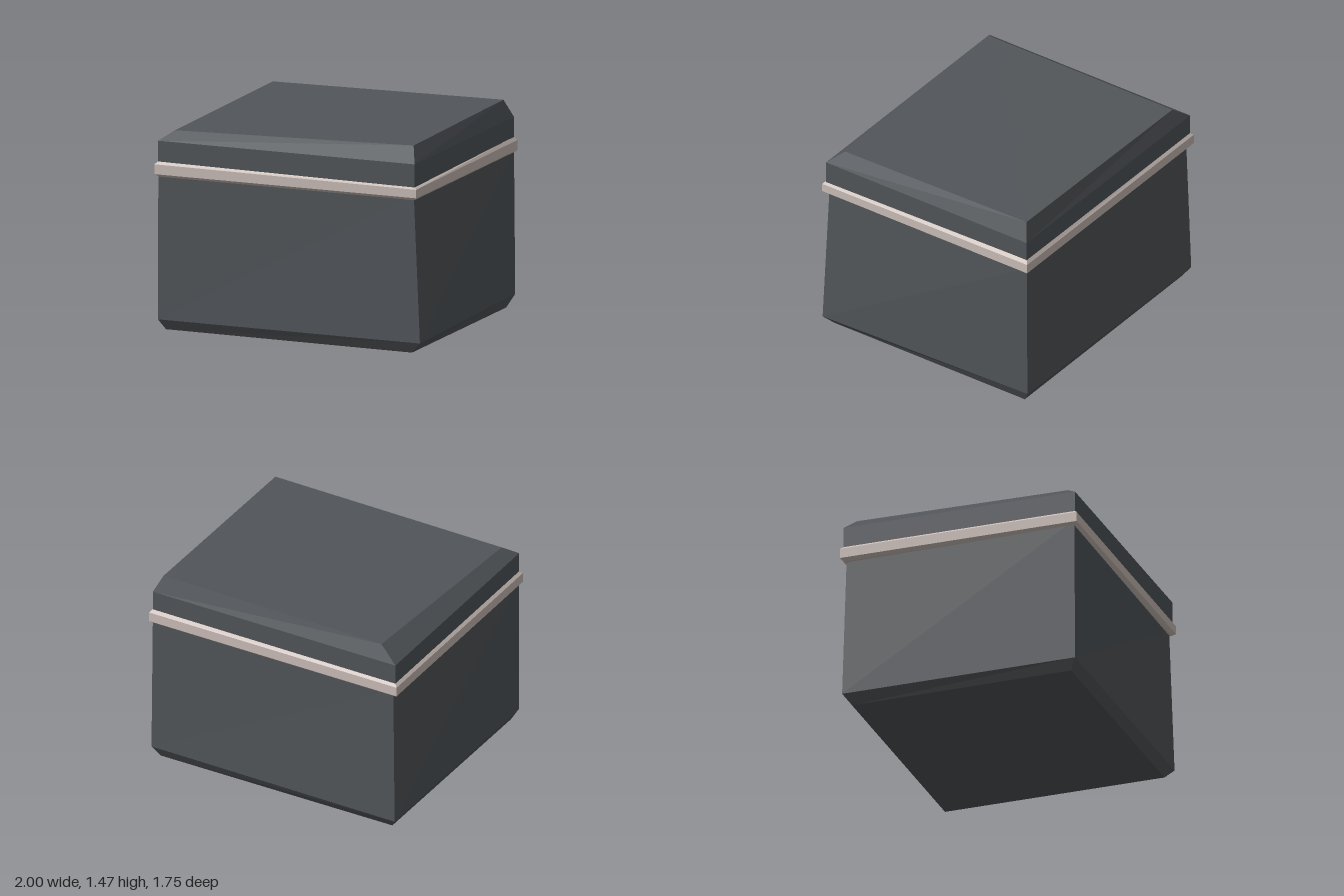
import * as THREE from 'three';

// Lofts four-cornered rings from bottom to top with hard faces.
// Corner order: front -x, front +x, back +x, back -x.
function loft(rings, capped) {
  const pos = [];
  const quad = (a, b, c, d) => pos.push(...a, ...b, ...c, ...a, ...c, ...d);
  for (let i = 0; i < rings.length - 1; i++) {
    for (let k = 0; k < 4; k++) {
      const n = (k + 1) % 4;
      quad(rings[i][k], rings[i][n], rings[i + 1][n], rings[i + 1][k]);
    }
  }
  if (capped) {
    const [a, b, c, d] = rings[0];
    quad(d, c, b, a);
    quad(...rings[rings.length - 1]);
  }
  const geometry = new THREE.BufferGeometry();
  geometry.setAttribute('position', new THREE.Float32BufferAttribute(pos, 3));
  geometry.computeVertexNormals();
  return geometry;
}

// Rectangular ring with one height per corner
function ring(x0, x1, zBack, zFront, y) {
  const h = Array.isArray(y) ? y : [y, y, y, y];
  return [[x0, h[0], zFront], [x1, h[1], zFront], [x1, h[2], zBack], [x0, h[3], zBack]];
}

export function createModel() {
  const model = new THREE.Group();
  model.name = 'box';

  const slate = new THREE.MeshStandardMaterial({ color: 0x52565a });
  slate.name = 'dark slate';
  const trim = new THREE.MeshStandardMaterial({ color: 0xcdc0ba });
  trim.name = 'pale trim';

  const add = (name, geometry, material) => {
    const mesh = new THREE.Mesh(geometry, material);
    mesh.name = name;
    model.add(mesh);
  };

  // Slightly crooked body with a bevelled foot
  add('body', loft([
    [[-0.94, 0.005, 0.81], [0.92, 0, 0.81], [0.92, 0, -0.81], [-0.93, 0.005, -0.81]],
    [[-0.98, 0.08, 0.855], [1.0, 0.08, 0.855], [0.965, 0.09, -0.865], [-0.98, 0.08, -0.865]],
    [[-0.98, 1.13, 0.85], [0.945, 1.13, 0.835], [0.96, 1.13, -0.855], [-0.955, 1.13, -0.84]],
  ], true), slate);

  // Lid with an uneven bevelled top
  add('lid', loft([
    ring(-0.98, 0.96, -0.855, 0.855, 1.13),
    ring(-0.98, 0.96, -0.855, 0.855, 1.345),
    [[-0.89, 1.41, 0.77], [0.9, 1.45, 0.735], [0.9, 1.47, -0.81], [-0.84, 1.45, -0.805]],
  ], true), slate);

  // Chamfered band around the seam
  add('band', loft([
    ring(-0.94, 0.93, -0.82, 0.82, 1.09),
    ring(-0.975, 0.955, -0.85, 0.85, 1.09),
    ring(-1.0, 0.98, -0.873, 0.873, 1.11),
    ring(-1.0, 0.98, -0.873, 0.873, [1.18, 1.17, 1.18, 1.18]),
    ring(-0.978, 0.958, -0.853, 0.853, [1.2, 1.183, 1.205, 1.2]),
  ], false), trim);

  return model;
}
